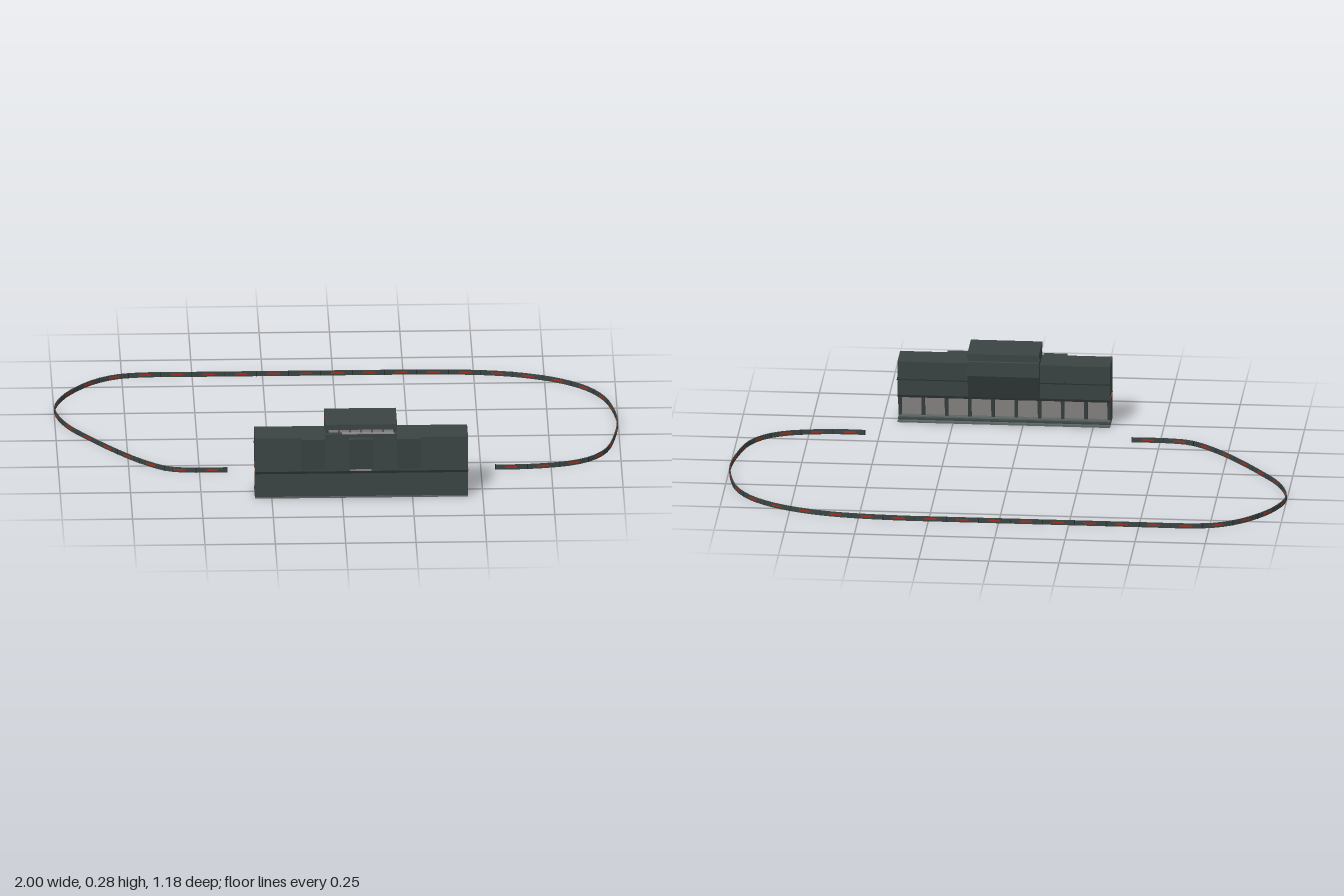
import * as THREE from 'three';

const mat = (name, color) => {
  const m = new THREE.MeshStandardMaterial({ color });
  m.name = name;
  return m;
};

export function createModel() {
  const dark = mat('darkCladding', 0x3b4343);
  const trim = mat('blackTrim', 0x262b2b);
  const glass = mat('greyGlazing', 0x888484);
  const pale = mat('paleConcrete', 0x5d6664);
  const red = mat('redPanel', 0xa03018);

  const model = new THREE.Group();
  model.name = 'racecourse';
  const stand = new THREE.Group();
  stand.name = 'grandstand';
  const fence = new THREE.Group();
  fence.name = 'trackFence';
  model.add(stand, fence);

  const add = (parent, name, geo, material) => {
    const mesh = new THREE.Mesh(geo, material);
    mesh.name = name;
    parent.add(mesh);
    return mesh;
  };
  // Box given by its min and max on each axis
  const box = (name, x0, x1, y0, y1, z0, z1, m = dark) =>
    add(stand, name, new THREE.BoxGeometry(x1 - x0, y1 - y0, z1 - z0), m)
      .position.set((x0 + x1) / 2, (y0 + y1) / 2, (z0 + z1) / 2);
  // Side profile of [z, y] points swept along x
  const sweep = (name, profile, x0, x1, m = dark) => {
    const shape = new THREE.Shape(profile.map(([z, y]) => new THREE.Vector2(-z, y)));
    const geo = new THREE.ExtrudeGeometry(shape, { depth: x1 - x0, bevelEnabled: false });
    geo.rotateY(Math.PI / 2).translate(x0, 0, 0);
    add(stand, name, geo, m);
  };

  const L = -0.31, R = 0.447, CL = -0.06, CR = 0.195;

  // Stepped base
  box('baseStep', L, R, 0, 0.006, 0.46, 0.57, pale);
  box('baseStep', L, R, 0.006, 0.011, 0.475, 0.569);
  box('baseStep', L, R, 0.011, 0.016, 0.49, 0.569, pale);

  // Ground storey: wall, sloping glazing and tapering fins
  box('groundWall', L, R, 0.008, 0.1, 0.535, 0.57);
  sweep('groundGlazing', [[0.535, 0.016], [0.51, 0.016], [0.502, 0.092], [0.535, 0.092]], L + 0.006, R - 0.006, glass);
  const bays = 9, step = (R - L - 0.012) / bays;
  for (let i = 0; i <= bays; i++) {
    const x = L + i * step;
    sweep('fin', [[0.569, 0.015], [0.498, 0.015], [0.482, 0.094], [0.569, 0.094]], x, x + 0.012);
    if (i < bays)
      box('soffitLight', x + 0.025, x + step - 0.013, 0.0915, 0.096, 0.476, 0.5, glass);
  }
  box('floorTrim', L, R, 0.094, 0.102, 0.463, 0.571, trim);
  // Red line and row of lights on each end wall
  for (const x of [L, R]) {
    box('redFloorLine', x - 0.001, x + 0.001, 0.098, 0.102, 0.465, 0.571, red);
    for (let z = 0.472; z < 0.56; z += 0.02)
      box('endLight', x - 0.001, x + 0.001, 0.105, 0.108, z, z + 0.013, glass);
  }

  // Upper storey
  sweep('upperStorey', [[0.57, 0.102], [0.465, 0.102], [0.456, 0.23], [0.57, 0.23]], L, R);

  // Projecting front bays
  for (const x of [-0.147, 0.024, 0.195])
    sweep('frontBay', [[0.57, 0.112], [0.578, 0.112], [0.59, 0.23], [0.57, 0.23]], x, x + 0.084);
  box('bayLight', 0.028, 0.104, 0.104, 0.112, 0.568, 0.576, glass);

  // Fine rails along the rear of both wings
  for (const [x0, x1, mid] of [[L, CL, -0.147], [CR, R, 0.362]]) {
    box('rearRail', x0, x1, 0.167, 0.17, 0.437, 0.4395, trim);
    for (const x of [x0, mid, x1])
      box('railBracket', x - 0.001, x + 0.001, 0.167, 0.17, 0.437, 0.465, trim);
  }

  // Central pavilion with a shallow groove under the roof slab
  sweep('pavilion', [[0.565, 0.102], [0.461, 0.102], [0.415, 0.197], [0.415, 0.25], [0.421, 0.252],
    [0.421, 0.26], [0.548, 0.26], [0.548, 0.242], [0.57, 0.242]], CL, CR);
  box('pavilionRoof', CL, CR, 0.26, 0.28, 0.415, 0.57);
  box('pavilionWindows', CL + 0.01, CR - 0.01, 0.243, 0.259, 0.547, 0.552, glass);
  for (let i = 0; i <= 6; i++) {
    const x = CL + 0.008 + i * 0.039;
    box('mullion', x, x + 0.004, 0.242, 0.26, 0.547, 0.556, trim);
  }
  box('terrace', CL + 0.06, CR - 0.01, 0.242, 0.244, 0.552, 0.568, glass);
  for (const x of [CL, CR])
    box('redSideLine', x - 0.001, x + 0.001, 0.253, 0.257, 0.422, 0.45, red);

  // Fence around the course, through [x, z] points
  const path = [
    [-0.4, 0.315], [-0.53, 0.315], [-0.61, 0.3], [-0.7, 0.23], [-0.8, 0.115], [-0.895, -0.015],
    [-0.95, -0.1], [-0.987, -0.195], [-0.998, -0.28], [-0.965, -0.385], [-0.917, -0.46],
    [-0.85, -0.53], [-0.77, -0.575], [-0.68, -0.59], [-0.5, -0.591], [-0.1, -0.591], [0.2, -0.591],
    [0.36, -0.59], [0.565, -0.573], [0.69, -0.543], [0.805, -0.492], [0.895, -0.42], [0.955, -0.325],
    [0.985, -0.21], [0.997, -0.1], [0.983, 0.04], [0.95, 0.17], [0.9, 0.24], [0.83, 0.283],
    [0.725, 0.308], [0.62, 0.317], [0.55, 0.315],
  ];
  const curve = new THREE.CatmullRomCurve3(path.map(([x, z]) => new THREE.Vector3(x, 0, z)));
  const pts = curve.getSpacedPoints(108);
  for (let i = 0; i < 108; i++) {
    const a = pts[i], b = pts[i + 1], len = a.distanceTo(b);
    const span = new THREE.Group();
    span.name = 'fenceSpan';
    span.position.addVectors(a, b).multiplyScalar(0.5);
    span.rotation.y = Math.atan2(a.z - b.z, b.x - a.x);
    fence.add(span);
    add(span, 'board', new THREE.BoxGeometry(len + 0.001, 0.018, 0.004), dark).position.y = 0.009;
    // Every third span carries a red panel, the next a dark joint
    if (i % 3 === 1)
      add(span, 'redPanel', new THREE.BoxGeometry(0.044, 0.007, 0.0052), red).position.y = 0.0095;
    if (i % 3 === 2)
      add(span, 'joint', new THREE.BoxGeometry(0.003, 0.018, 0.005), trim).position.set(len / 2 - 0.002, 0.009, 0);
  }
  return model;
}
